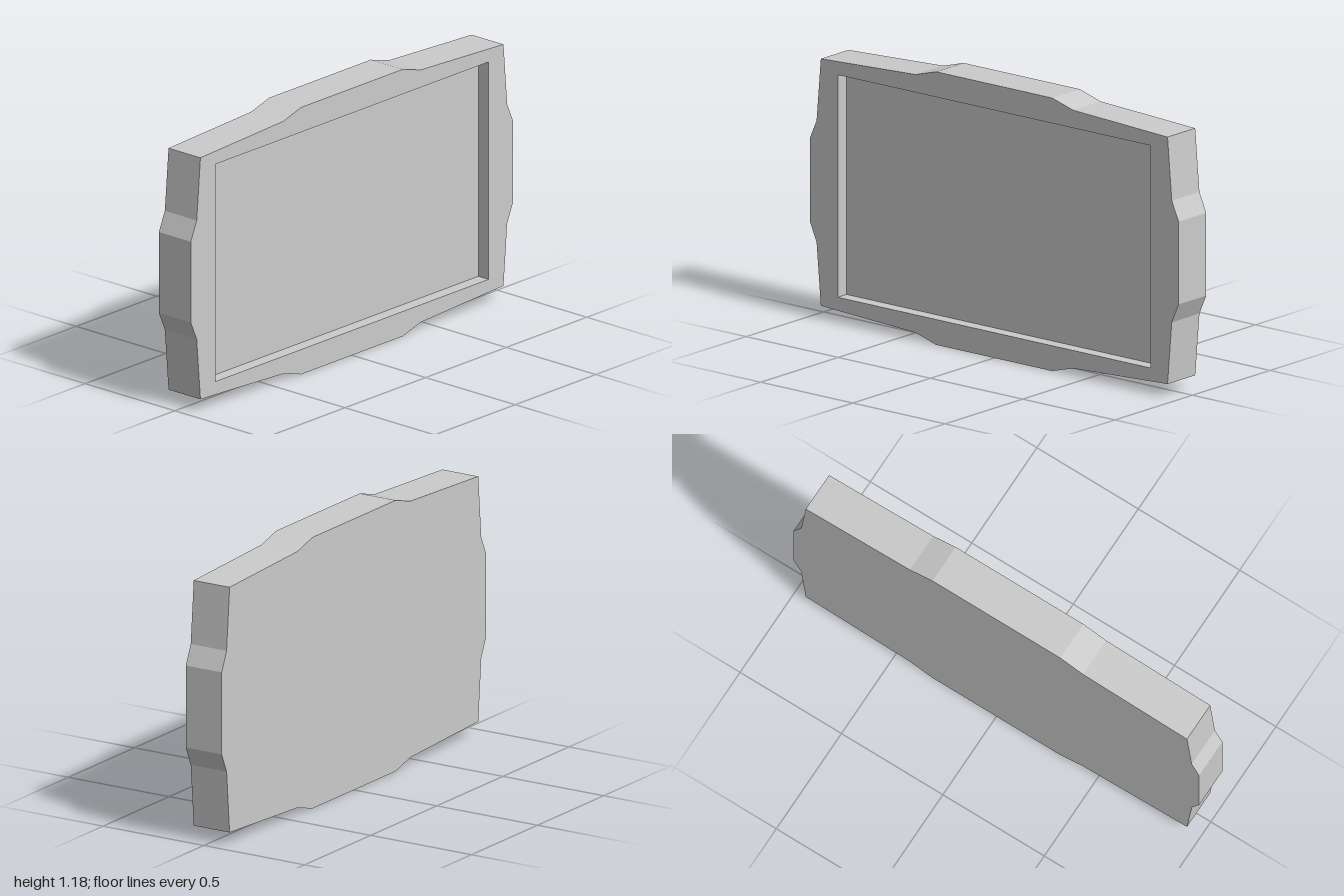
import * as THREE from 'three';

const MID = 0.588; // half height
const FRONT = 0.089; // half thickness
const RECESS = 0.057;

// Upper right quarter of the outline, measured from the centre
const QUARTER = [[1, 0.178], [0.963, 0.262], [0.94, 0.532], [0.427, 0.556], [0.315, 0.588]];

function outline() {
  const points = [];
  for (const [sx, sy] of [[1, 1], [-1, 1], [-1, -1], [1, -1]]) {
    const corner = QUARTER.map(([x, y]) => new THREE.Vector2(x * sx, y * sy));
    points.push(...(sx * sy > 0 ? corner : corner.reverse()));
  }
  return new THREE.Shape(points);
}

function slab(name, shape, z, depth, material) {
  const geometry = new THREE.ExtrudeGeometry(shape, { depth, bevelEnabled: false });
  const mesh = new THREE.Mesh(geometry, material);
  mesh.name = name;
  mesh.position.set(0, MID, z);
  return mesh;
}

export function createModel() {
  const group = new THREE.Group();
  group.name = 'framedPanel';
  const material = new THREE.MeshStandardMaterial({ color: 0xcccccc, flatShading: true });

  // Solid back board
  group.add(slab('backBoard', outline(), -FRONT, 2 * FRONT - RECESS, material));

  // Front frame around the rectangular recess
  const frame = outline();
  const w = 0.848, h = 0.479;
  frame.holes.push(new THREE.Path([
    new THREE.Vector2(-w, -h), new THREE.Vector2(-w, h),
    new THREE.Vector2(w, h), new THREE.Vector2(w, -h),
  ]));
  group.add(slab('frontFrame', frame, FRONT - RECESS, RECESS, material));

  return group;
}
